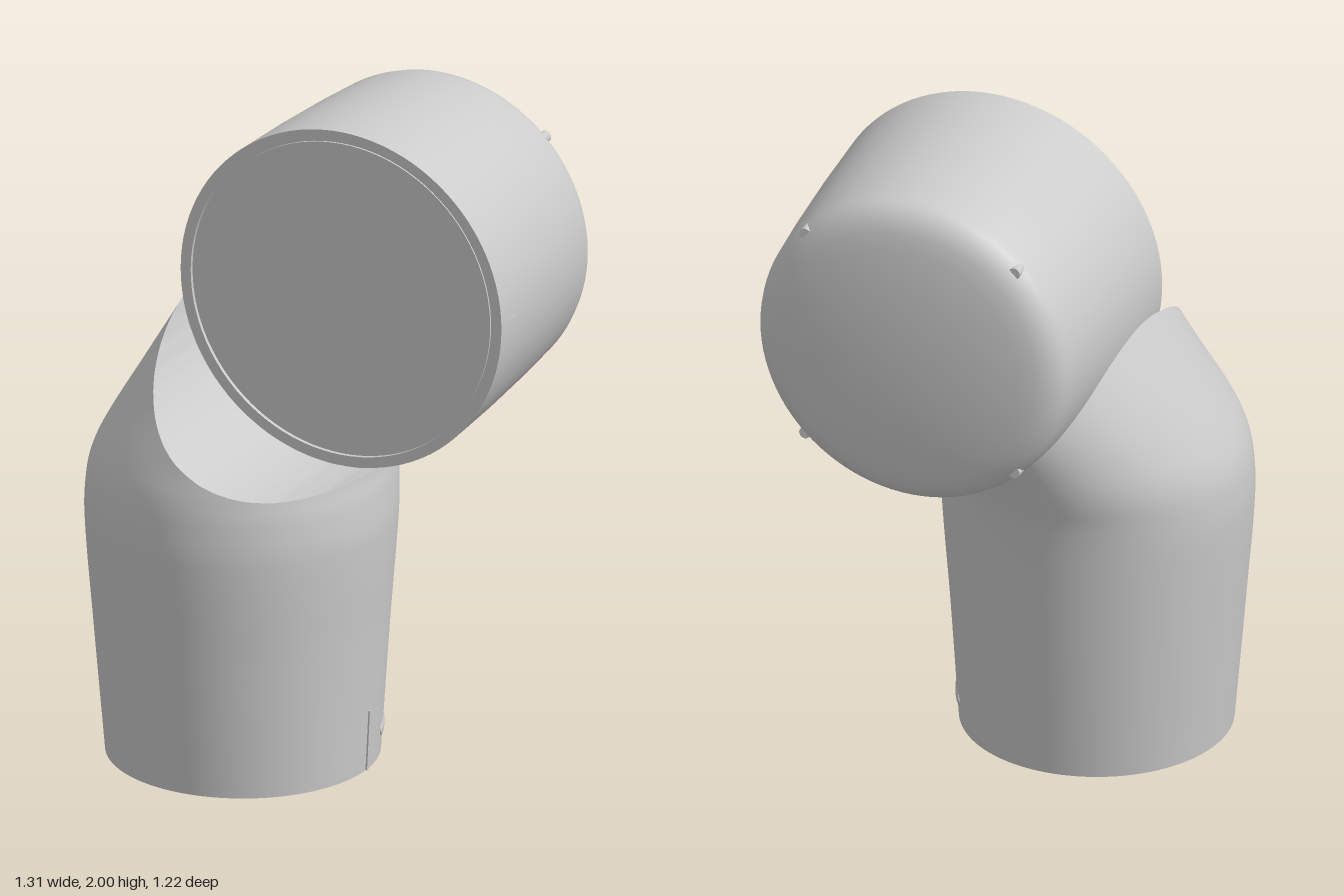
import * as THREE from 'three';
import { toCreasedNormals } from 'three/addons/utils/BufferGeometryUtils.js';

const DRUM = { x: 0.13, y: 1.472, front: 0.13 };

// Body cross-sections: height, right x, left x, front z, back z
const SECTIONS = [
  [0, -0.59, 0.22, 0.55, -0.26],
  [0.4, -0.625, 0.241, 0.583, -0.305],
  [0.75, -0.653, 0.262, 0.61, -0.345],
  [0.88, -0.648, 0.254, 0.608, -0.365],
  [0.95, -0.632, 0.243, 0.6, -0.385],
  [1.03, -0.597, 0.25, 0.582, -0.41],
  [1.2, -0.505, 0.37, 0.55, -0.47],
  [1.4, -0.392, 0.46, 0.52, -0.5],
  [1.6, -0.28, 0.52, 0.5, -0.5],
];

// Smooth (Hermite) interpolation of the sections at height y
function sectionAt(y) {
  const S = SECTIONS;
  let i = 0;
  while (i < S.length - 2 && y > S[i + 1][0]) i++;
  const slope = (n, k) => {
    const a = S[Math.max(n - 1, 0)], b = S[Math.min(n + 1, S.length - 1)];
    return (b[k] - a[k]) / (b[0] - a[0]);
  };
  const h = S[i + 1][0] - S[i][0], t = (y - S[i][0]) / h, t2 = t * t, t3 = t2 * t;
  return [1, 2, 3, 4].map((k) =>
    (2 * t3 - 3 * t2 + 1) * S[i][k] + (t3 - 2 * t2 + t) * h * slope(i, k) +
    (3 * t2 - 2 * t3) * S[i + 1][k] + (t3 - t2) * h * slope(i + 1, k));
}

function bodyPoint(angle, y) {
  const [xl, xr, zf, zb] = sectionAt(y);
  return [
    (xl + xr) / 2 + Math.cos(angle) * (xr - xl) / 2,
    y,
    (zf + zb) / 2 + Math.sin(angle) * (zf - zb) / 2,
  ];
}

// Columns rise until they meet the drum; in front of it they end on a
// cylindrical scoop that runs back to the drum's front plane.
function bodyGeometry(cols = 144, rows = 56) {
  const pos = [], index = [], stride = rows + 2;
  const inside = ([x, y, z]) => {
    const r = z > DRUM.front ? 0.529 : 0.529 - (DRUM.front - z) * 0.085;
    return Math.hypot(x - DRUM.x, y - DRUM.y) < r;
  };
  for (let i = 0; i < cols; i++) {
    const a = (i / cols) * Math.PI * 2;
    let top = 0.8;
    while (top < 1.55 && !inside(bodyPoint(a, top))) top += 0.001;
    for (let j = 0; j <= rows; j++) pos.push(...bodyPoint(a, (top * j) / rows));
    const [x, y, z] = bodyPoint(a, top);
    pos.push(x, y, Math.min(z, DRUM.front));
  }
  for (let i = 0; i < cols; i++) {
    const n = (i + 1) % cols;
    for (let j = 0; j <= rows; j++) {
      const a = i * stride + j, b = n * stride + j;
      const scoop = j === rows;
      if (!scoop || pos[b * 3 + 2] > DRUM.front) index.push(a + 1, b + 1, b);
      if (!scoop || pos[a * 3 + 2] > DRUM.front) index.push(a, a + 1, b);
    }
  }
  const g = new THREE.BufferGeometry();
  g.setAttribute('position', new THREE.Float32BufferAttribute(pos, 3));
  g.setIndex(index);
  return toCreasedNormals(g, 0.6);
}

function lathe(points) {
  const g = new THREE.LatheGeometry(points.map(([r, h]) => new THREE.Vector2(r, h)), 96);
  return toCreasedNormals(g, 0.6);
}

export function createModel() {
  const model = new THREE.Group();
  const grey = new THREE.MeshStandardMaterial({ color: 0xcccccc, side: THREE.DoubleSide });
  const add = (name, geometry, parent = model) => {
    const mesh = new THREE.Mesh(geometry, grey);
    mesh.name = name;
    parent.add(mesh);
    return mesh;
  };

  add('elbowBody', bodyGeometry());

  // Stepped socket in the underside
  add('baseSocket', lathe([
    [0, 0.14], [0.305, 0.14], [0.305, 0.02], [0.385, 0.02], [0.385, 0], [0.405, 0],
  ])).position.set(-0.185, 0, 0.145);

  // Drum lying along z, with domed back cap and recessed front face
  const drum = new THREE.Group();
  drum.name = 'drum';
  drum.position.set(DRUM.x, DRUM.y, 0);
  model.add(drum);
  add('drumShell', lathe([
    [0, -0.61], [0.12, -0.608], [0.25, -0.6], [0.36, -0.585], [0.41, -0.574], [0.44, -0.562],
    [0.465, -0.543], [0.48, -0.522], [0.488, -0.495], [0.503, -0.33], [0.518, -0.1],
    [0.528, 0.13], [0.495, 0.13], [0.495, 0.118], [0.488, 0.118], [0.488, 0.124], [0, 0.124],
  ]), drum).rotation.x = Math.PI / 2;

  // Four cap screws around the back edge
  for (let i = 0; i < 4; i++) {
    const a = Math.PI / 4 + (i * Math.PI) / 2;
    const screw = add('capScrew', new THREE.CylinderGeometry(0.018, 0.018, 0.05, 20), drum);
    screw.rotation.x = Math.PI / 2;
    screw.position.set(Math.cos(a) * 0.468, Math.sin(a) * 0.468, -0.518);
  }

  // Alignment marks on the drum and the base
  add('drumMark', new THREE.BoxGeometry(0.01, 0.01, 0.1), drum).position.set(0.522, 0.008, 0.079);
  const baseMark = add('baseMark', new THREE.BoxGeometry(0.01, 0.19, 0.008));
  baseMark.position.set(0.225, 0.096, 0.145);
  baseMark.rotation.z = -0.05;

  // Oval plug on the side of the base
  const plug = add('ovalPlug', new THREE.SphereGeometry(1, 32, 16));
  plug.scale.set(0.008, 0.026, 0.066);
  plug.position.set(0.185, 0.08, -0.025);
  plug.rotation.y = 0.42;

  return model;
}
